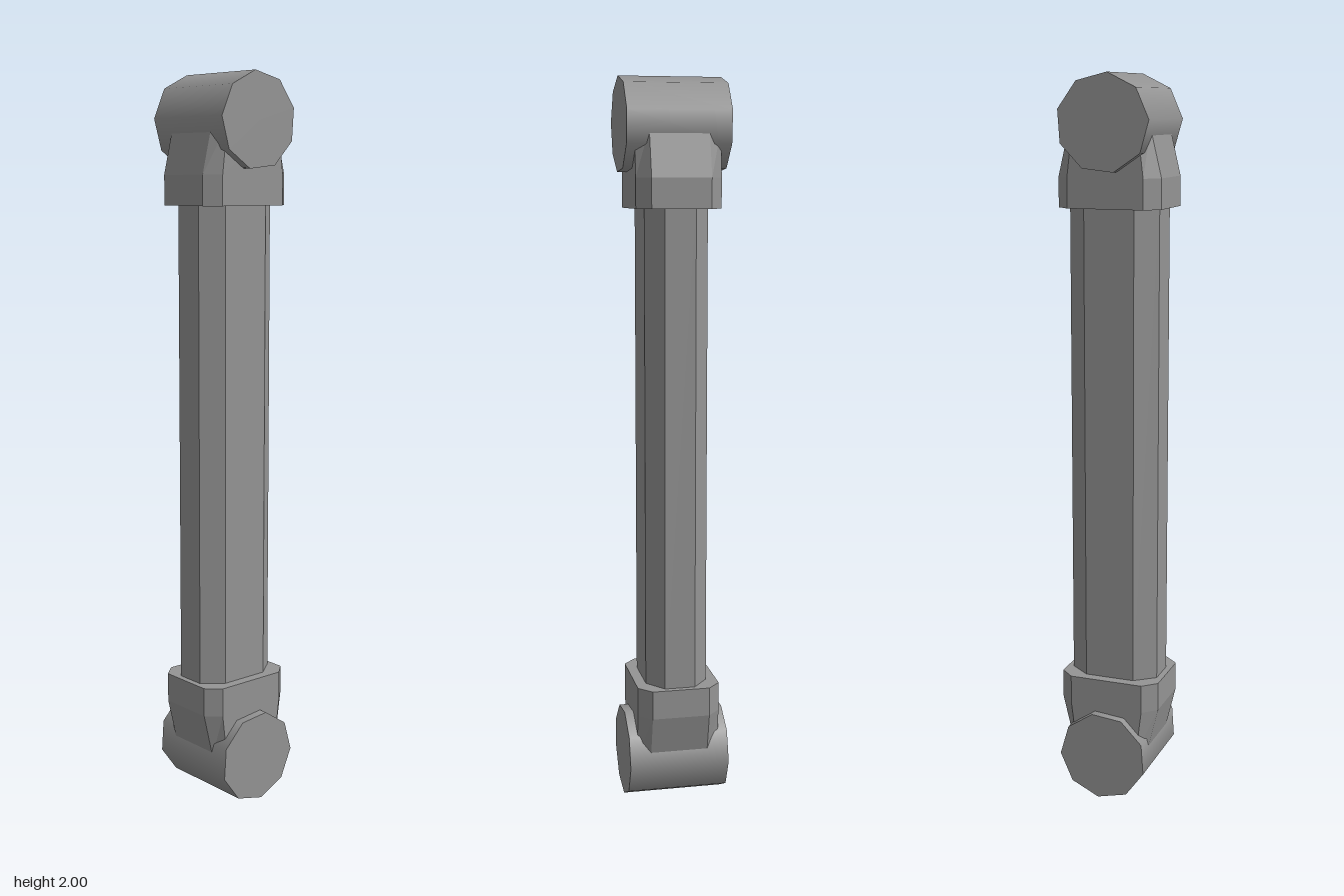
import * as THREE from 'three';

const grey = new THREE.MeshStandardMaterial({ color: 0x949494 });

// Chamfered-box outline: half sizes x, z and where the corner chamfers begin
function outline([y, x, z, cx, cz]) {
  return [[cx, z], [x, cz], [x, -cz], [cx, -z], [-cx, -z], [-x, -cz], [-x, cz], [-cx, z]]
    .map(([px, pz]) => [px, y, pz]);
}

// Faceted loft through outlines from bottom to top, closed at both ends
function loft(sections) {
  const rings = sections.map(outline);
  const pos = [];
  const tri = (a, b, c) => pos.push(...a, ...b, ...c);
  for (let r = 0; r < rings.length - 1; r++) {
    for (let i = 0; i < 8; i++) {
      const j = (i + 1) % 8;
      const lo = rings[r], hi = rings[r + 1];
      tri(lo[i], lo[j], hi[j]);
      tri(lo[i], hi[j], hi[i]);
    }
  }
  const first = rings[0], last = rings[rings.length - 1];
  for (let i = 1; i < 7; i++) {
    tri(first[0], first[i + 1], first[i]);
    tri(last[0], last[i], last[i + 1]);
  }
  const geometry = new THREE.BufferGeometry();
  geometry.setAttribute('position', new THREE.Float32BufferAttribute(pos, 3));
  geometry.computeVertexNormals();
  return geometry;
}

function addMesh(parent, name, geometry) {
  const mesh = new THREE.Mesh(geometry, grey);
  mesh.name = name;
  parent.add(mesh);
  return mesh;
}

// Collar and cross pin, placed for the upper end
function createEnd(name) {
  const end = new THREE.Group();
  end.name = name;
  addMesh(end, 'collar', loft([
    [1.655, 0.115, 0.143, 0.08, 0.105],
    [1.735, 0.115, 0.143, 0.08, 0.105],
    [1.86, 0.115, 0.113, 0.08, 0.09],
  ]));
  const pin = new THREE.CylinderGeometry(0.127, 0.127, 0.28, 9, 1, false, THREE.MathUtils.degToRad(4));
  pin.rotateZ(Math.PI / 2);
  addMesh(end, 'crossPin', pin).position.set(0, 1.8737, 0.002);
  return end;
}

export function createModel() {
  const model = new THREE.Group();
  model.name = 'barHandle';

  // Eight-sided grip
  addMesh(model, 'gripBar', loft([
    [0.33, 0.086, 0.126, 0.042, 0.07],
    [1.67, 0.086, 0.126, 0.042, 0.07],
  ]));

  // Matching ends, the lower one turned half way round
  model.add(createEnd('upperEnd'));
  const lower = createEnd('lowerEnd');
  lower.rotation.x = Math.PI;
  lower.position.y = 2;
  model.add(lower);
  return model;
}
